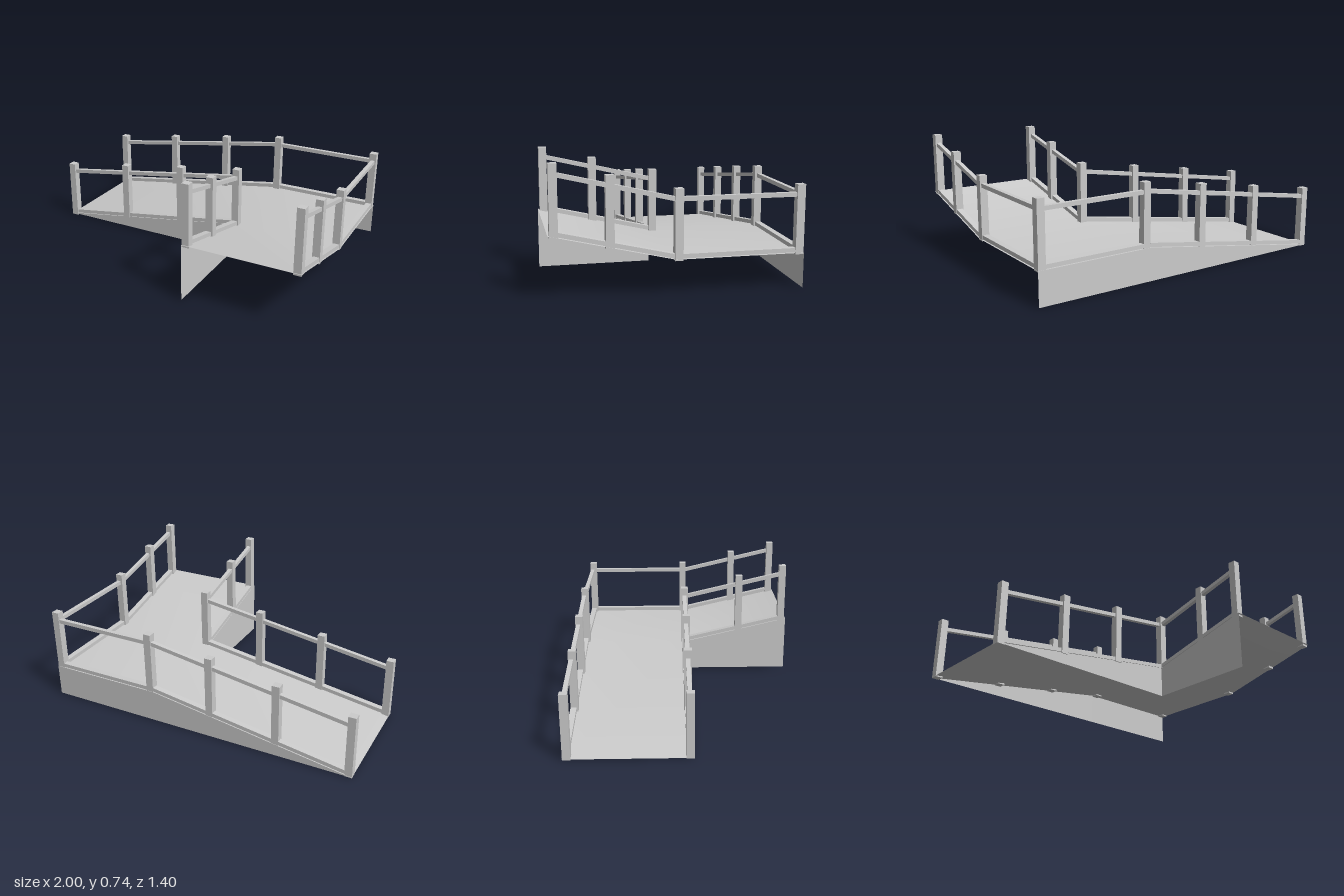
import * as THREE from 'three';

const X0 = -1, XI = 0.28, X1 = 1;       // ramp foot, inner corner, outer side
const Z0 = -0.7, ZI = 0.02, Z1 = 0.7;   // back side, inner corner, upper end
const LANDING = 0.2, TOP = 0.36;

const material = new THREE.MeshStandardMaterial({ color: 0xcccccc, side: THREE.DoubleSide });

// Height of the walking surface
function deckY(x, z) {
  if (x < XI) return LANDING * (x - X0) / (XI - X0);
  if (z > ZI) return LANDING + (TOP - LANDING) * (z - ZI) / (Z1 - ZI);
  return LANDING;
}

function surface(name, points, index) {
  const geo = new THREE.BufferGeometry();
  geo.setAttribute('position', new THREE.Float32BufferAttribute(points.flat(), 3));
  geo.setIndex(index);
  geo.computeVertexNormals();
  const mesh = new THREE.Mesh(geo, material);
  mesh.name = name;
  return mesh;
}

// Rectangular bar from a to b, kept upright
function bar(name, a, b, width, height) {
  const mesh = new THREE.Mesh(new THREE.BoxGeometry(width, height, a.distanceTo(b)), material);
  mesh.position.copy(a).add(b).multiplyScalar(0.5);
  mesh.lookAt(b);
  mesh.name = name;
  return mesh;
}

// Posts at [x, z] spots
function addPosts(group, spots) {
  for (const [x, z] of spots) {
    const post = new THREE.Mesh(new THREE.BoxGeometry(0.046, 0.39, 0.046), material);
    post.position.set(x, deckY(x, z) + 0.187, z);
    post.name = 'post';
    group.add(post);
  }
}

// Lower and upper rails following the deck along a path of [x, z] points
function addRails(group, path) {
  const at = ([x, z], lift) => new THREE.Vector3(x, deckY(x, z) + lift, z);
  for (let i = 0; i + 1 < path.length; i++) {
    group.add(bar('lowerRail', at(path[i], 0.016), at(path[i + 1], 0.016), 0.036, 0.024));
    group.add(bar('upperRail', at(path[i], 0.325), at(path[i + 1], 0.325), 0.026, 0.024));
  }
}

export function createModel() {
  const model = new THREE.Group();
  model.name = 'corneredRamp';

  // L-shaped deck: lower ramp, landing, upper ramp
  const spots = [[X0, Z0], [X0, ZI], [XI, Z0], [XI, ZI], [X1, Z0], [X1, ZI], [XI, Z1], [X1, Z1]];
  const quads = [[0, 1, 3, 2], [2, 3, 5, 4], [3, 6, 7, 5]];
  model.add(surface('deck', spots.map(([x, z]) => [x, deckY(x, z), z]),
    quads.flatMap(([a, b, c, d]) => [a, b, c, a, c, d])));

  // Thin walls closing the back and the two inner sides
  model.add(surface('backWall',
    [[X0, 0, Z0], [XI, LANDING, Z0], [X1, LANDING, Z0], [X1, 0, Z0], [XI, 0, Z0]],
    [0, 1, 4, 1, 2, 3, 1, 3, 4]));
  model.add(surface('lowerRampInnerWall',
    [[X0, 0, ZI], [XI, 0, ZI], [XI, LANDING, ZI]], [0, 1, 2]));
  model.add(surface('upperRampInnerWall',
    [[XI, 0, ZI], [XI, 0, Z1], [XI, TOP, Z1], [XI, LANDING, ZI]], [0, 1, 2, 0, 2, 3]));

  // Outer railing, round the back corner
  const outer = new THREE.Group();
  outer.name = 'outerRailing';
  const bx = [-0.977, -0.53, -0.105, 0.303, 0.975];
  addPosts(outer, [...bx.map(x => [x, -0.675]), ...[0.005, 0.375, 0.668].map(z => [0.975, z])]);
  addRails(outer, [[-0.99, -0.68], [XI, -0.68], [0.99, -0.68]]);
  addRails(outer, [[0.977, -0.68], [0.977, ZI], [0.977, 0.668]]);
  model.add(outer);

  // Inner railing, round the inside corner
  const inner = new THREE.Group();
  inner.name = 'innerRailing';
  addPosts(inner, [...[-0.977, -0.53, -0.105, 0.298].map(x => [x, 0.003]),
    [0.303, 0.375], [0.303, 0.668]]);
  addRails(inner, [[-0.99, 0.002], [0.295, 0.002]]);
  addRails(inner, [[0.298, ZI], [0.298, 0.668]]);
  model.add(inner);

  return model;
}
